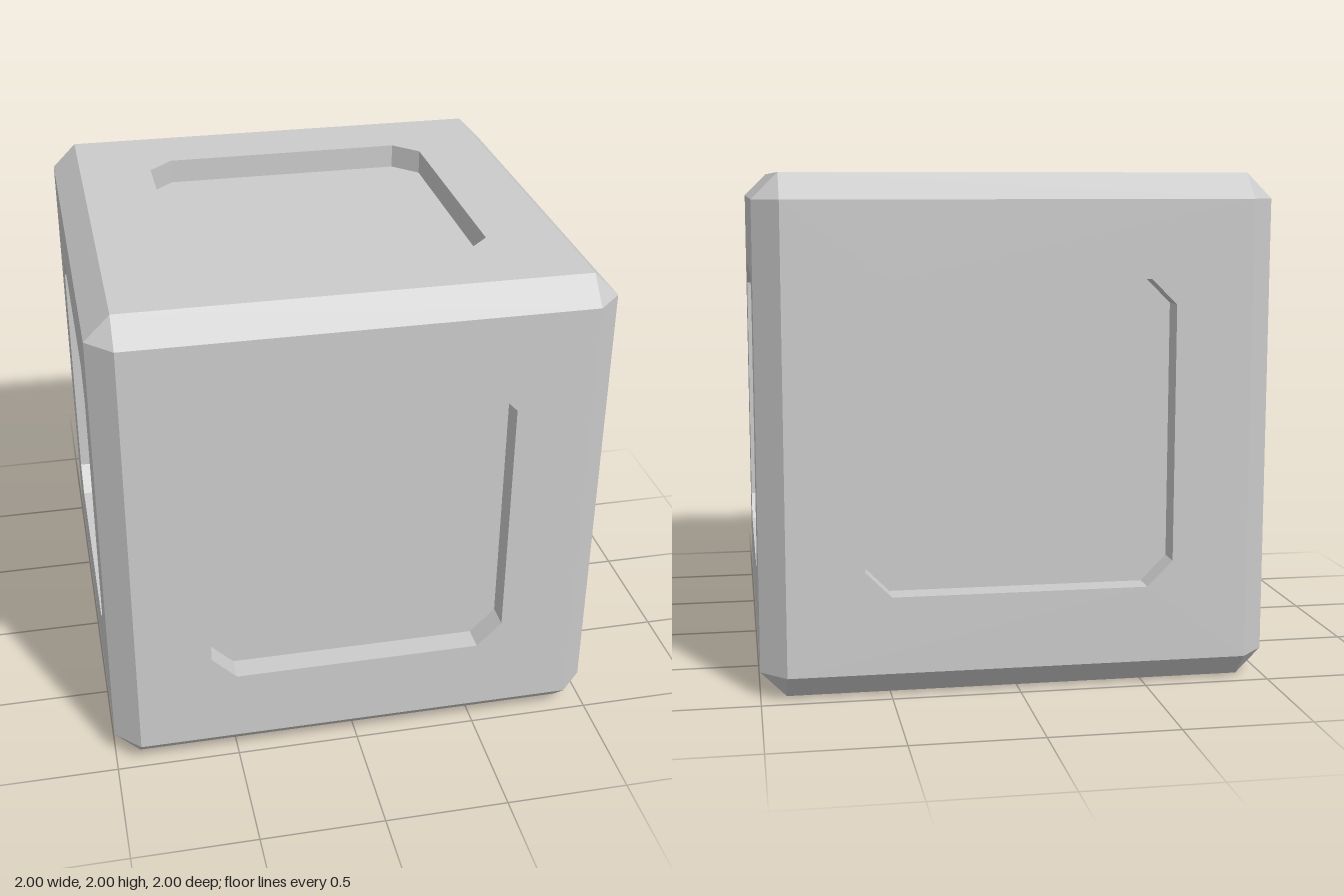
import * as THREE from 'three';
import { mergeGeometries } from 'three/addons/utils/BufferGeometryUtils.js';

const HALF = 1;        // half of the cube's side
const BEVEL = 0.1;     // chamfer on edges and corners
const PANEL = 0.6;     // half-width of the recessed panel
const CUT = 0.1;       // clipped corner of the panel
const DEPTH = 0.1;     // depth of the recess
const FLAT = HALF - BEVEL;

const material = new THREE.MeshStandardMaterial({ color: 0xcccccc, flatShading: true });

function addMesh(parent, geometry, name) {
  const mesh = new THREE.Mesh(geometry, material);
  mesh.name = name;
  parent.add(mesh);
}

function triangles(points) {
  const geometry = new THREE.BufferGeometry().setFromPoints(points);
  geometry.computeVertexNormals();
  return geometry;
}

// Square outline with clipped corners, counter-clockwise
function clippedSquare(half, cut) {
  const points = [];
  for (let i = 0; i < 4; i++) {
    const turn = i * Math.PI / 2, centre = new THREE.Vector2();
    points.push(new THREE.Vector2(half, half - cut).rotateAround(centre, turn));
    points.push(new THREE.Vector2(half - cut, half).rotateAround(centre, turn));
  }
  return points;
}

// One side of the cube, facing +z: frame, recess walls and recess floor
function createFace(name) {
  const face = new THREE.Group();
  face.name = name;
  const outline = clippedSquare(PANEL, CUT);

  const frame = new THREE.Shape([[-1, -1], [1, -1], [1, 1], [-1, 1]]
    .map(([x, y]) => new THREE.Vector2(x * FLAT, y * FLAT)));
  frame.holes.push(new THREE.Path(outline));
  addMesh(face, new THREE.ShapeGeometry(frame).translate(0, 0, HALF), 'frame');

  const floor = new THREE.ShapeGeometry(new THREE.Shape(outline));
  addMesh(face, floor.translate(0, 0, HALF - DEPTH), 'recessFloor');

  const walls = [];
  outline.forEach((p, i) => {
    const q = outline[(i + 1) % outline.length];
    const [a, b, c, d] = [[p, HALF], [q, HALF], [q, HALF - DEPTH], [p, HALF - DEPTH]]
      .map(([v, z]) => new THREE.Vector3(v.x, v.y, z));
    walls.push(a, b, c, a, c, d);
  });
  addMesh(face, triangles(walls), 'recessWalls');
  return face;
}

// Twelve chamfer strips: four around each axis
function createEdges() {
  const strips = [];
  for (const axis of ['x', 'y', 'z']) {
    for (let i = 0; i < 4; i++) {
      const strip = new THREE.PlaneGeometry(BEVEL * Math.SQRT2, 2 * FLAT);
      strip.translate(0, 0, (HALF - BEVEL / 2) * Math.SQRT2);
      strip.rotateY(Math.PI / 4 + i * Math.PI / 2);
      if (axis === 'x') strip.rotateZ(Math.PI / 2);
      if (axis === 'z') strip.rotateX(Math.PI / 2);
      strips.push(strip);
    }
  }
  return mergeGeometries(strips);
}

// Eight corner triangles, order reversed on mirrored corners
function createCorners() {
  const points = [];
  for (const x of [-1, 1]) for (const y of [-1, 1]) for (const z of [-1, 1]) {
    const corner = [
      new THREE.Vector3(x * HALF, y * FLAT, z * FLAT),
      new THREE.Vector3(x * FLAT, y * HALF, z * FLAT),
      new THREE.Vector3(x * FLAT, y * FLAT, z * HALF),
    ];
    points.push(...(x * y * z > 0 ? corner : corner.reverse()));
  }
  return triangles(points);
}

export function createModel() {
  const model = new THREE.Group();
  model.name = 'panelledCube';
  const cube = new THREE.Group();
  cube.name = 'cube';
  cube.position.y = HALF;
  model.add(cube);

  // Six identical faces turned outward
  const quarter = Math.PI / 2;
  const turns = {
    frontFace: [0, 0], leftFace: [0, quarter], backFace: [0, 2 * quarter],
    rightFace: [0, -quarter], topFace: [-quarter, 0], bottomFace: [quarter, 0],
  };
  for (const [name, [rx, ry]] of Object.entries(turns)) {
    const face = createFace(name);
    face.rotation.set(rx, ry, 0);
    cube.add(face);
  }

  addMesh(cube, createEdges(), 'chamferedEdges');
  addMesh(cube, createCorners(), 'chamferedCorners');
  return model;
}
